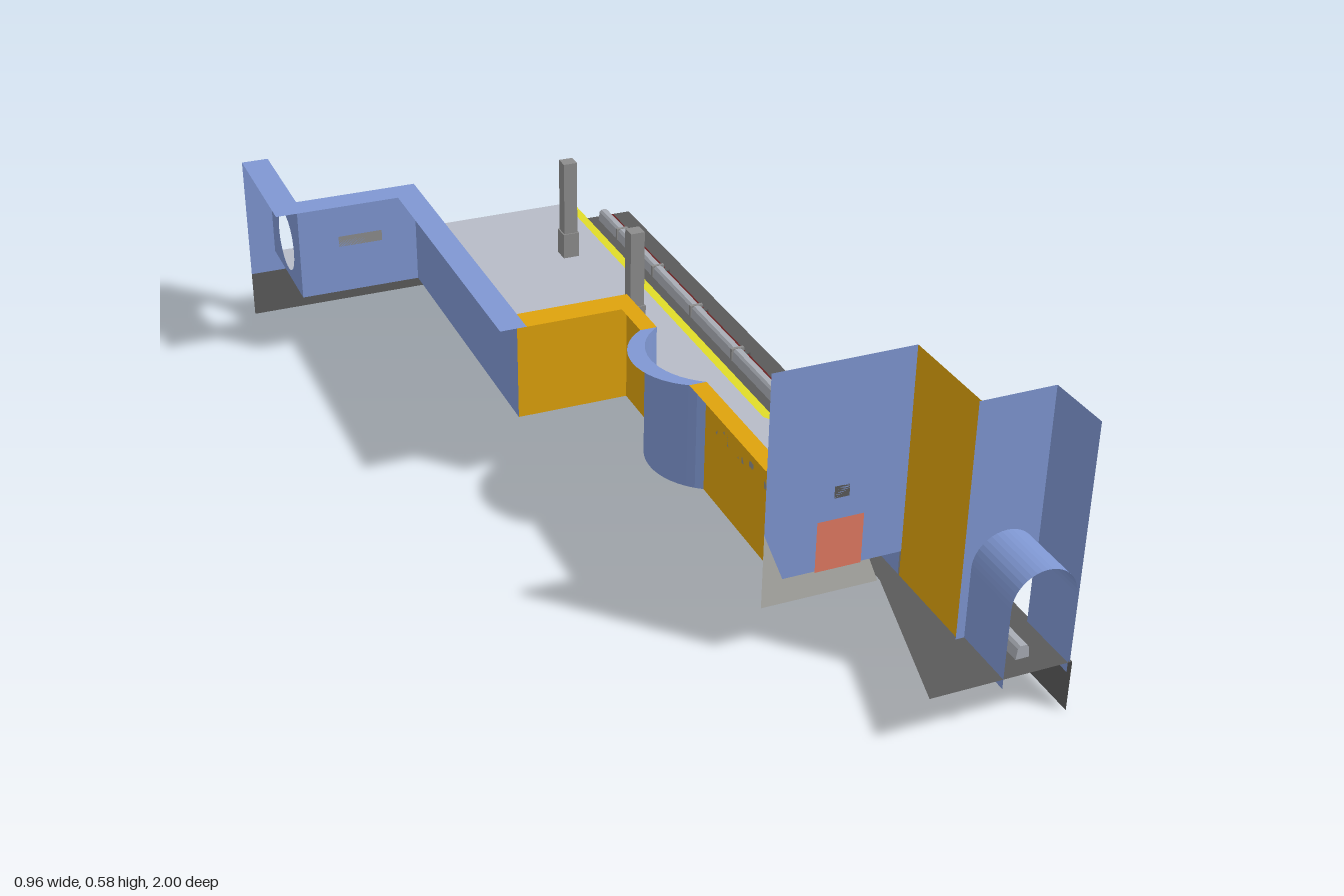
import * as THREE from 'three';

const mat = (color) => new THREE.MeshStandardMaterial({ color, side: THREE.DoubleSide, flatShading: true });
const BLUE = mat(0x7f97d2), ORANGE = mat(0xdea20c), DARK = mat(0x5a5a5a), FLOOR = mat(0xb6bbc6);
const YELLOW = mat(0xe0dc28), RED = mat(0xe27a62), GREY = mat(0x8c8c8c), STEEL = mat(0xa8acb4);
const RUBBLE = mat(0xb4b4b0), MAROON = mat(0x6a2020);

const FLOOR_Y = 0.155, WALL_Y = 0.39, BED_Y = 0.105, TALL_Y = 0.585;

export function createModel() {
  const model = new THREE.Group();

  const add = (name, geometry, material, x = 0, y = 0, z = 0) => {
    const mesh = new THREE.Mesh(geometry, material);
    mesh.name = name;
    mesh.position.set(x, y, z);
    model.add(mesh);
    return mesh;
  };
  const box = (name, material, x0, x1, y0, y1, z0, z1) =>
    add(name, new THREE.BoxGeometry(x1 - x0, y1 - y0, z1 - z0), material, (x0 + x1) / 2, (y0 + y1) / 2, (z0 + z1) / 2);
  const toShape = (pts) => new THREE.Shape(pts.map(([a, b]) => new THREE.Vector2(a, b)));

  // Flat horizontal sheet from [x, z] corners
  const sheet = (name, material, pts, y) =>
    add(name, new THREE.ShapeGeometry(toShape(pts)).rotateX(Math.PI / 2), material, 0, y, 0);

  // Upright sheet in the x-y plane
  const panel = (name, material, pts, z) =>
    add(name, new THREE.ShapeGeometry(toShape(pts)), material, 0, 0, z);
  const rect = (a0, a1, b0, b1) => [[a0, b0], [a1, b0], [a1, b1], [a0, b1]];

  // Upright ribbon following an [x, z] path
  const ribbon = (name, material, path, y0, y1) => {
    const pos = [], index = [];
    path.forEach(([x, z], i) => {
      pos.push(x, y0, z, x, y1, z);
      const a = i * 2;
      if (i) index.push(a - 2, a, a - 1, a - 1, a, a + 1);
    });
    const g = new THREE.BufferGeometry();
    g.setAttribute('position', new THREE.Float32BufferAttribute(pos, 3));
    g.setIndex(index);
    g.computeVertexNormals();
    return add(name, g, material);
  };

  // Arc between two z values on the line x, bulging sideways by s
  const arc = (x, z0, z1, s, n = 16) => {
    const c = (z1 - z0) / 2, R = (s * s + c * c) / (2 * Math.abs(s));
    const half = Math.asin(Math.min(1, c / R)), pts = [];
    for (let i = 0; i <= n; i++) {
      const t = -half + (2 * half * i) / n;
      pts.push([x + Math.sign(s) * (R * Math.cos(t) - R * Math.cos(half)), (z0 + z1) / 2 + R * Math.sin(t)]);
    }
    return pts;
  };

  // Open base: back and right sides, and the track bed with its front wedge
  panel('baseBack', DARK, rect(-0.48, 0.48, 0, BED_Y), -1);
  ribbon('baseSide', DARK, [[0.48, -1], [0.48, 1]], 0, BED_Y);
  sheet('trackBed', DARK, [[0.29, -1], [0.48, -1], [0.48, 1], [0.2, 1], [0.29, 0.66]], BED_Y);

  // Platform floor with rounded bulge, safety line and skirt
  const alcoveIn = arc(0.085, 0.095, 0.33, -0.063), alcoveOut = arc(0.05, 0.095, 0.33, -0.065);
  const edge = [[0.33, -1], ...arc(0.33, 0.125, 0.295, 0.028, 10), [0.33, 0.655]];
  const lineIn = edge.map(([x, z]) => [x - 0.02, z]);
  sheet('platformFloor', FLOOR, [
    [-0.42, -1], [-0.42, -0.74], [-0.15, -0.74], [-0.15, -0.058], [0.085, -0.058],
    ...alcoveIn, [0.085, 0.655], ...lineIn.slice().reverse()], FLOOR_Y);
  sheet('safetyLine', YELLOW, [...edge, ...lineIn.slice().reverse()], FLOOR_Y);
  ribbon('platformSkirt', BLUE, edge, BED_Y, FLOOR_Y);
  panel('backFrame', BLUE, [[-0.48, BED_Y], [0.33, BED_Y], [0.33, FLOOR_Y], [-0.42, FLOOR_Y],
    [-0.42, WALL_Y], [-0.48, WALL_Y]], -1);

  // Side wall with a round opening
  const holed = toShape(rect(-1, -0.74, FLOOR_Y, WALL_Y));
  holed.holes.push(new THREE.Path().absarc(-0.868, 0.24, 0.068, 0, Math.PI * 2, true));
  add('roundOpeningWall', new THREE.ShapeGeometry(holed, 20).rotateY(-Math.PI / 2), BLUE, -0.42, 0, 0);

  // Stepped inner walls and their caps
  ribbon('blueWall', BLUE, [[-0.42, -0.74], [-0.15, -0.74], [-0.15, -0.058]], FLOOR_Y, WALL_Y);
  ribbon('orangeCornerWall', ORANGE, [[-0.15, -0.058], [0.085, -0.058], [0.085, 0.095]], FLOOR_Y, WALL_Y);
  ribbon('alcoveWall', BLUE, alcoveIn, FLOOR_Y, WALL_Y);
  ribbon('orangeLongWall', ORANGE, [[0.085, 0.33], [0.085, 0.655]], FLOOR_Y, WALL_Y);
  sheet('blueWallCap', BLUE, [[-0.42, -1], [-0.42, -0.74], [-0.15, -0.74], [-0.15, 0], [-0.205, 0],
    [-0.205, -0.68], [-0.48, -0.68], [-0.48, -1]], WALL_Y);
  sheet('orangeCornerCap', ORANGE, [[-0.15, -0.058], [0.085, -0.058], [0.085, 0.095], [0.05, 0.095],
    [0.05, 0], [-0.15, 0]], WALL_Y);
  sheet('alcoveCap', BLUE, [...alcoveIn, ...alcoveOut.slice().reverse()], WALL_Y);
  sheet('orangeLongCap', ORANGE, rect(0.05, 0.085, 0.33, 0.655), WALL_Y);

  // Small wall fittings: a row of slots, a plate and a lamp
  for (let i = 0; i < 9; i++) {
    const z = 0.365 + i * 0.031;
    box('wallSlot', GREY, 0.085, 0.09, 0.305, 0.328, z, z + 0.018);
  }
  box('wallPlate', GREY, -0.33, -0.23, 0.265, 0.29, -0.745, -0.74);
  box('wallLamp', DARK, 0.185, 0.215, 0.305, 0.33, 0.648, 0.66);

  // Tall end walls, zigzagging towards the track
  panel('tallWall', BLUE, [[0.05, 0.26], [0.09, 0.158], [0.33, 0.158], [0.33, TALL_Y], [0.05, TALL_Y]], 0.66);
  panel('brokenWallFoot', RUBBLE, [[0.05, BED_Y], [0.285, BED_Y], [0.265, 0.158], [0.09, 0.158], [0.05, 0.26]], 0.66);
  panel('redDoor', RED, rect(0.152, 0.245, 0.158, 0.264), 0.664);
  ribbon('tallOrangeWall', ORANGE, [[0.33, 0.66], [0.33, 0.87]], BED_Y, TALL_Y);
  ribbon('tallSideWall', BLUE, [[0.475, 0.87], [0.475, 1]], BED_Y, TALL_Y);

  // Arched wall and the tunnel through it
  const cx = 0.407, r = 0.064, spring = 0.25, low = 0.085, arch = [[cx - r, low]];
  for (let i = 0; i <= 20; i++) {
    const t = Math.PI * (1 - i / 20);
    arch.push([cx + r * Math.cos(t), spring + r * Math.sin(t)]);
  }
  arch.push([cx + r, low]);
  panel('archWall', BLUE, [[0.326, low], ...arch, [0.475, low], [0.475, TALL_Y], [0.326, TALL_Y]], 0.87);
  // The tunnel is a ribbon laid along z: path (x, height) turned upright
  ribbon('archTunnel', BLUE, arch.map(([x, y]) => [x, -y]), 0.87, 1).rotation.x = Math.PI / 2;

  // Square posts with wider feet
  for (const z of [-0.73, -0.33]) {
    box('post', GREY, 0.2, 0.232, FLOOR_Y, WALL_Y, z - 0.016, z + 0.016);
    box('postFoot', GREY, 0.197, 0.235, FLOOR_Y, 0.215, z - 0.019, z + 0.019);
  }

  // Curved console on a stem inside the alcove
  const a = Math.PI * 65 / 180, desk = new THREE.Shape();
  desk.absarc(0, 0, 0.085, Math.PI - a, Math.PI + a, false);
  desk.absarc(0, 0, 0.063, Math.PI + a, Math.PI - a, true);
  add('consoleDesk', new THREE.ExtrudeGeometry(desk, { depth: 0.034, bevelEnabled: false, curveSegments: 14 })
    .rotateX(Math.PI / 2), STEEL, 0.115, 0.316, 0.2125);
  add('consoleStem', new THREE.CylinderGeometry(0.014, 0.014, 0.13, 12), STEEL, 0.048, 0.22, 0.2125);
  add('consoleFoot', new THREE.CylinderGeometry(0.02, 0.02, 0.02, 12), STEEL, 0.048, 0.165, 0.2125);

  // Guide rail with tapered head, its joints, and the red power rail beside it
  const railShape = toShape([[-0.012, 0.07], [0.012, 0.07], [0.014, 0.1], [0.011, 0.127], [0.006, 0.132],
    [-0.006, 0.132], [-0.011, 0.127], [-0.014, 0.1]]);
  add('guideRail', new THREE.ExtrudeGeometry(railShape, { depth: 1.94, bevelEnabled: false }), STEEL, 0.405, 0, -0.98);
  box('powerRail', MAROON, 0.42, 0.43, BED_Y, 0.115, -0.98, 0.87);
  for (let i = 0; i < 8; i++) {
    const z = -0.86 + i * 0.22;
    box('railJoint', GREY, 0.39, 0.42, BED_Y, 0.133, z - 0.004, z + 0.004);
    box('railBracket', DARK, 0.418, 0.434, BED_Y, 0.118, z - 0.006, z + 0.006);
  }

  return model;
}
